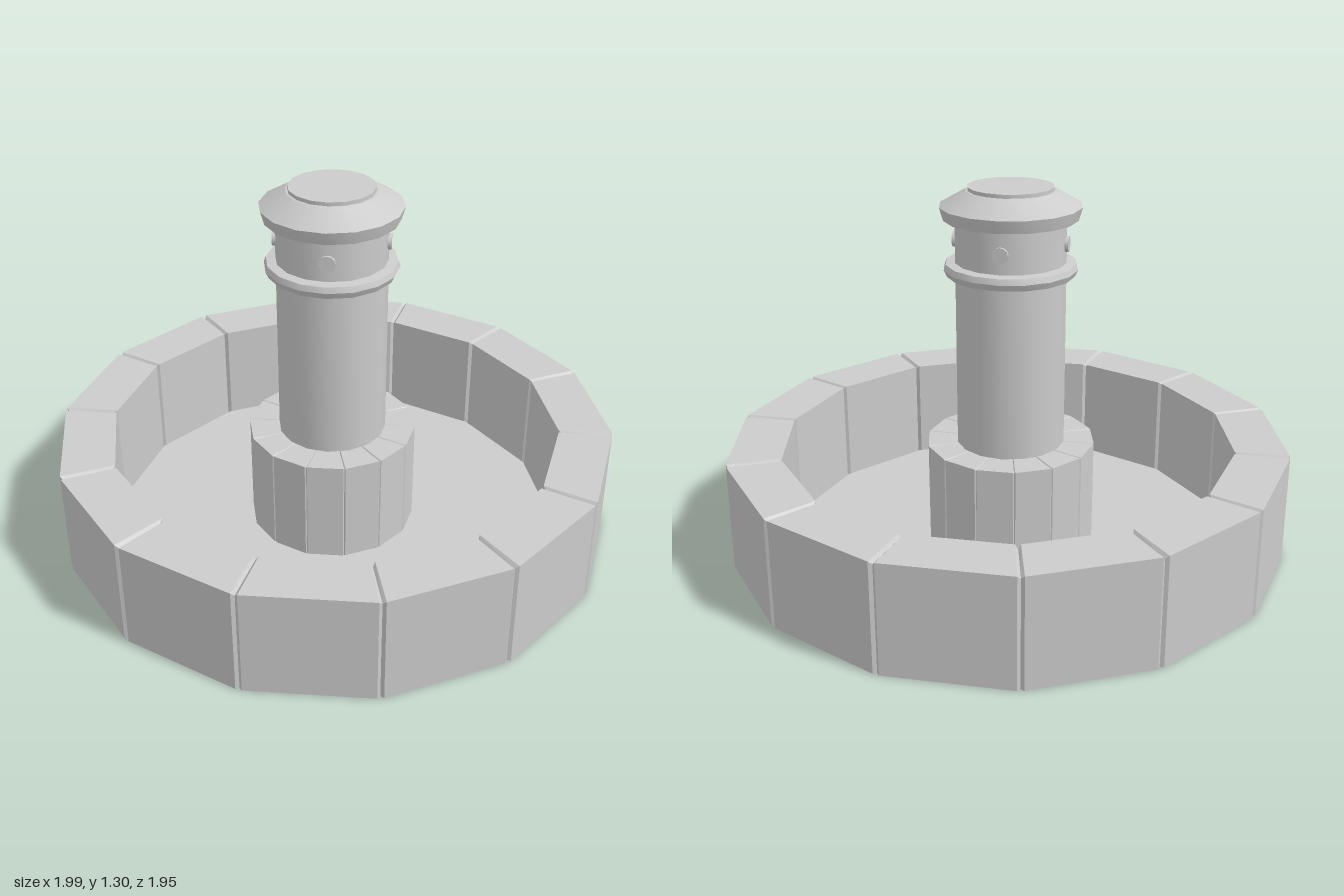
import * as THREE from 'three';
import { toCreasedNormals } from 'three/addons/utils/BufferGeometryUtils.js';

const SIDES = 14;
const stone = new THREE.MeshStandardMaterial({ color: 0xcccccc, flatShading: true, side: THREE.DoubleSide });
const smooth = new THREE.MeshStandardMaterial({ color: 0xcccccc });

function part(name, geometry, material, parent) {
  const mesh = new THREE.Mesh(geometry, material);
  mesh.name = name;
  parent.add(mesh);
  return mesh;
}

// Ring of blocks, open underneath, with a shallow groove at every joint
function blockRing(outer, inner, height, groove) {
  const half = Math.PI / SIDES;
  const d = groove / outer;
  const positions = [];
  const index = [];
  for (let k = 0; k < SIDES; k++) {
    for (const s of [-1, 0, 1]) {
      const angle = k * 2 * half + s * d;
      const cut = s === 0 ? groove : 0;
      const f = s === 0 ? 1 : Math.cos(half) / Math.cos(half - d);
      const profile = [
        [outer * f - cut, 0], [outer * f - cut, height - cut],
        [inner * f + cut, height - cut], [inner * f + cut, 0],
      ];
      for (const [r, y] of profile) positions.push(r * Math.cos(angle), y, -r * Math.sin(angle));
    }
  }
  const stations = SIDES * 3;
  for (let i = 0; i < stations; i++) {
    const j = (i + 1) % stations;
    for (let p = 0; p < 3; p++) {
      const a = i * 4 + p, b = j * 4 + p;
      index.push(a, b, b + 1, a, b + 1, a + 1);
    }
  }
  const geometry = new THREE.BufferGeometry();
  geometry.setAttribute('position', new THREE.Float32BufferAttribute(positions, 3));
  geometry.setIndex(index);
  const flat = geometry.toNonIndexed();
  flat.computeVertexNormals();
  return flat;
}

// Turned part from [radius, height] points
function turned(points, sides = 16) {
  const geometry = new THREE.LatheGeometry(points.map(([r, y]) => new THREE.Vector2(r, y)), sides);
  return toCreasedNormals(geometry, 0.45);
}

export function createModel() {
  const fountain = new THREE.Group();
  fountain.name = 'fountain';

  // Basin
  part('basinWall', blockRing(1, 0.81, 0.385, 0.011), stone, fountain);
  part('basinFloor', new THREE.CircleGeometry(0.81, SIDES).rotateX(-Math.PI / 2), stone, fountain).position.y = 0.004;

  // Central pillar, slightly off centre
  const pillar = new THREE.Group();
  pillar.name = 'pillar';
  pillar.position.x = -0.01;
  fountain.add(pillar);

  part('pedestal', blockRing(0.302, 0.185, 0.38, 0.004), stone, pillar);
  part('column', turned([[0.193, 0.005], [0.193, 1.2]]), smooth, pillar);
  part('collar', turned([[0.19, 0.995], [0.222, 0.995], [0.233, 1.018], [0.226, 1.038], [0.19, 1.042]]), smooth, pillar);
  part('cap', turned([
    [0, 1.19], [0.232, 1.19], [0.245, 1.235], [0.155, 1.287],
    [0.148, 1.287], [0.148, 1.3], [0, 1.3],
  ]), smooth, pillar);

  // Four round spouts below the cap
  for (let i = 0; i < 4; i++) {
    const spout = new THREE.CylinderGeometry(0.028, 0.028, 0.03, 12)
      .rotateX(Math.PI / 2)
      .translate(0, 1.108, 0.186)
      .rotateY(i * Math.PI / 2);
    part('spout', spout, smooth, pillar);
  }
  return fountain;
}
